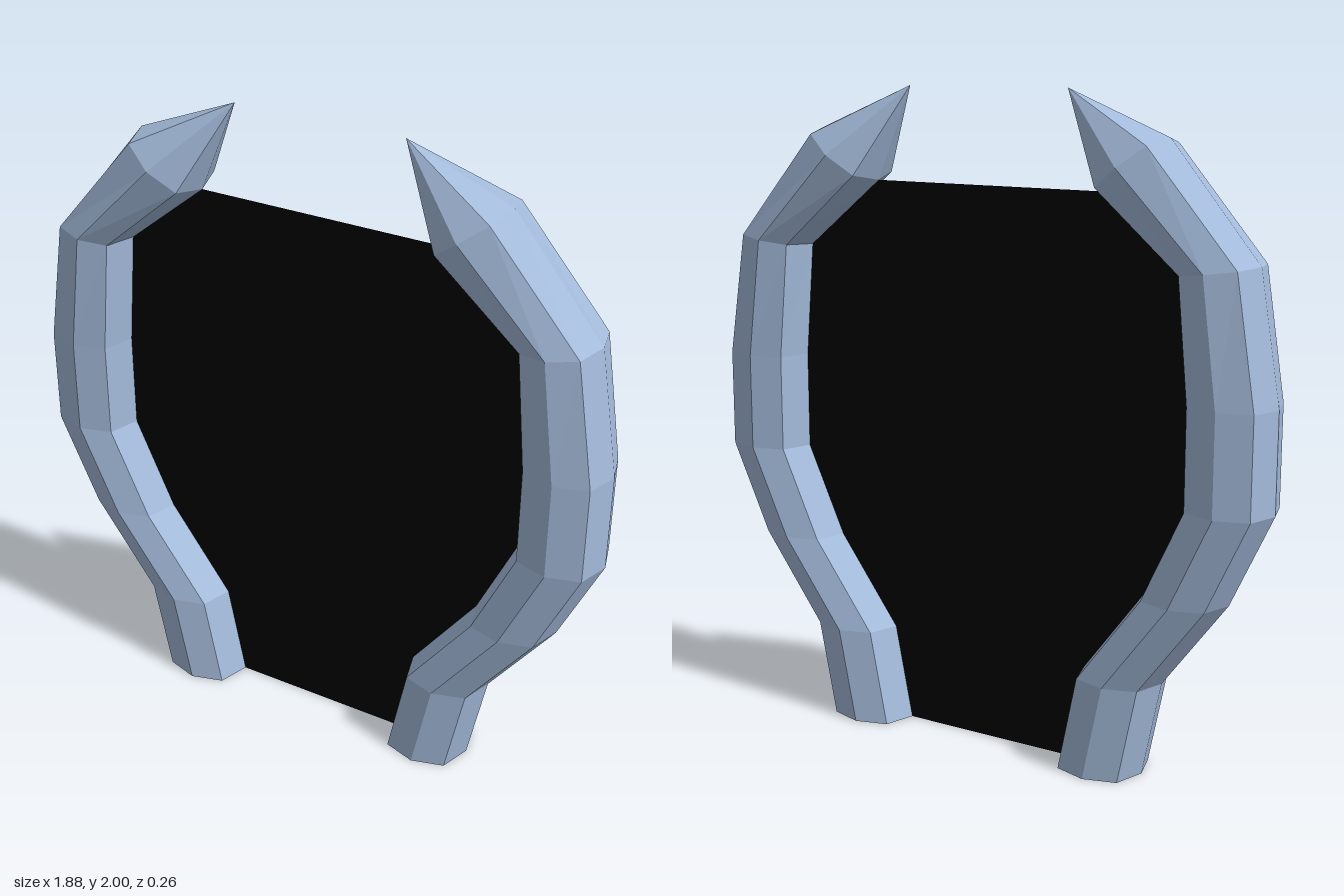
import * as THREE from 'three';

// Ring stations of one horn: outer x, outer y, inner x, inner y
const STATIONS = [
  [0.545, 0, 0.285, 0],
  [0.605, 0.295, 0.345, 0.295],
  [0.81, 0.57, 0.55, 0.57],
  [0.94, 0.85, 0.68, 0.85],
  [0.94, 1.15, 0.68, 1.15],
  [0.875, 1.535, 0.65, 1.505],
  [0.595, 1.87, 0.39, 1.715],
];
const TIP = [0.27, 2, 0];

// Eight-sided section: factor along the outer-inner axis, z offset
const SECTION = [
  [1, 0], [0.77, 0.1], [0, 0.13], [-0.77, 0.1],
  [-1, 0], [-0.77, -0.1], [0, -0.13], [0.77, -0.1],
];

function hornGeometry() {
  const n = SECTION.length;
  const rings = STATIONS.map(([ox, oy, ix, iy]) => SECTION.map(([u, z]) => [
    (ox + ix) / 2 + (u * (ox - ix)) / 2,
    (oy + iy) / 2 + (u * (oy - iy)) / 2,
    z,
  ]));
  const positions = [];
  const tri = (a, b, c) => positions.push(...a, ...b, ...c);

  for (let j = 0; j < n; j++) {
    const k = (j + 1) % n;
    // Flat base
    tri([0.415, 0, 0], rings[0][j], rings[0][k]);
    // Curved body
    for (let i = 0; i < rings.length - 1; i++) {
      tri(rings[i][j], rings[i + 1][j], rings[i][k]);
      tri(rings[i][k], rings[i + 1][j], rings[i + 1][k]);
    }
    // Pointed end
    tri(rings[rings.length - 1][j], TIP, rings[rings.length - 1][k]);
  }
  const geometry = new THREE.BufferGeometry();
  geometry.setAttribute('position', new THREE.Float32BufferAttribute(positions, 3));
  geometry.computeVertexNormals();
  return geometry;
}

// Thin sheet bounded by the inner edges of both horns
function panelGeometry() {
  const right = STATIONS.map(([, , x, y]) => new THREE.Vector2(x, y));
  const left = right.map((p) => new THREE.Vector2(-p.x, p.y)).reverse();
  return new THREE.ShapeGeometry(new THREE.Shape([...right, ...left]));
}

export function createModel() {
  const group = new THREE.Group();
  group.name = 'portal';

  const hornMaterial = new THREE.MeshStandardMaterial({ color: 0xa4bbdb, flatShading: true });
  const panelMaterial = new THREE.MeshStandardMaterial({ color: 0x000000, side: THREE.DoubleSide });

  // Horns: the section is symmetric in z, so a half turn mirrors the shape
  const geometry = hornGeometry();
  for (const [name, turn] of [['leftHorn', 0], ['rightHorn', Math.PI]]) {
    const horn = new THREE.Mesh(geometry, hornMaterial);
    horn.name = name;
    horn.rotation.y = turn;
    group.add(horn);
  }

  // Dark opening between the horns
  const panel = new THREE.Mesh(panelGeometry(), panelMaterial);
  panel.name = 'portalPanel';
  group.add(panel);

  return group;
}
